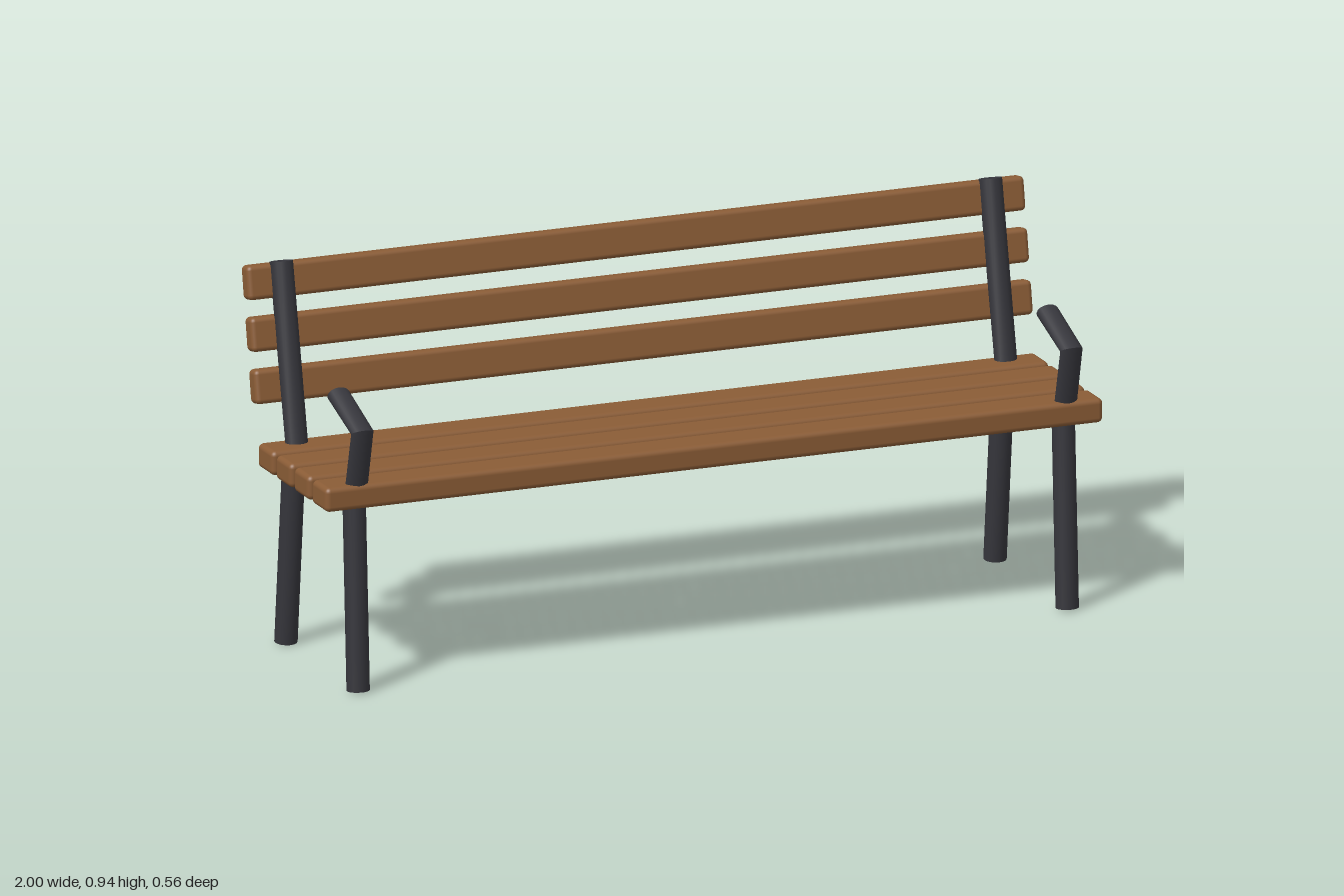
import * as THREE from 'three';
import { RoundedBoxGeometry } from 'three/addons/geometries/RoundedBoxGeometry.js';

const wood = new THREE.MeshStandardMaterial({ color: 0x8a5c36 });
const metal = new THREE.MeshStandardMaterial({ color: 0x36363c });
const SIDES = 16;
const HALF_X = 0.028; // half width of every pipe across the bench

// Mitred pipe along a path in the side plane; each point is [z, y, half width]
function pipe(path) {
  const pts = path.map(([z, y]) => new THREE.Vector2(z, y));
  const pos = [], index = [];
  const rings = path.map(([z, y, r], i) => {
    const t = new THREE.Vector2();
    if (i > 0) t.add(pts[i].clone().sub(pts[i - 1]).normalize());
    if (i < pts.length - 1) t.add(pts[i + 1].clone().sub(pts[i]).normalize());
    t.normalize();
    const ring = [];
    for (let s = 0; s < SIDES; s++) {
      const a = (s / SIDES) * Math.PI * 2;
      const n = Math.sin(a) * r;
      ring.push([Math.cos(a) * HALF_X, y + t.x * n, z - t.y * n]);
    }
    return ring;
  });
  const addRing = (ring) => {
    const start = pos.length / 3;
    ring.forEach((p) => pos.push(...p));
    return start;
  };
  // walls, with separate rings per section so the bends stay crisp
  for (let i = 0; i < rings.length - 1; i++) {
    const a = addRing(rings[i]), b = addRing(rings[i + 1]);
    for (let s = 0; s < SIDES; s++) {
      const n = (s + 1) % SIDES;
      index.push(a + s, a + n, b + n, a + s, b + n, b + s);
    }
  }
  // flat end caps
  const a = addRing(rings[0]), b = addRing(rings[rings.length - 1]);
  for (let s = 1; s < SIDES - 1; s++) {
    index.push(a, a + s + 1, a + s, b, b + s, b + s + 1);
  }
  const g = new THREE.BufferGeometry();
  g.setAttribute('position', new THREE.Float32BufferAttribute(pos, 3));
  g.setIndex(index);
  g.computeVertexNormals();
  return g;
}

export function createModel() {
  const bench = new THREE.Group();
  bench.name = 'bench';

  const add = (parent, name, geometry, material) => {
    const mesh = new THREE.Mesh(geometry, material);
    mesh.name = name;
    parent.add(mesh);
    return mesh;
  };

  // Seat slats
  const seatGeo = new RoundedBoxGeometry(2, 0.06, 0.093, 3, 0.013);
  [0.206, 0.094, -0.018, -0.13].forEach((z, i) => {
    add(bench, `seatSlat${i + 1}`, seatGeo, wood).position.set(0, 0.485, z);
  });

  // Backrest slats, leaning backwards
  const backGeo = new RoundedBoxGeometry(2, 0.083, 0.045, 3, 0.012);
  [[0.644, -0.207], [0.767, -0.23], [0.889, -0.253]].forEach(([y, z], i) => {
    const slat = add(bench, `backSlat${i + 1}`, backGeo, wood);
    slat.position.set(0, y, z);
    slat.rotation.x = -0.18;
  });

  // One bent pipe per side: armrest, seat rail and back post
  const frameGeo = pipe([
    [0.115, 0.703, 0.021],
    [0.264, 0.649, 0.021],
    [0.215, 0.457, 0.026],
    [-0.135, 0.475, 0.026],
    [-0.239, 0.938, 0.028],
  ]);
  const frontLegGeo = pipe([[0.214, 0.455, 0.027], [0.238, 0.004, 0.027]]);
  const backLegGeo = pipe([[-0.162, 0.453, 0.027], [-0.21, 0.004, 0.027]]);

  for (const [side, sign] of [['left', 1], ['right', -1]]) {
    const frame = new THREE.Group();
    frame.name = `${side}Frame`;
    frame.position.x = sign * 0.912;
    add(frame, `${side}ArmrestRailAndBackPost`, frameGeo, metal);
    add(frame, `${side}FrontLeg`, frontLegGeo, metal);
    add(frame, `${side}BackLeg`, backLegGeo, metal);
    bench.add(frame);
  }
  return bench;
}
